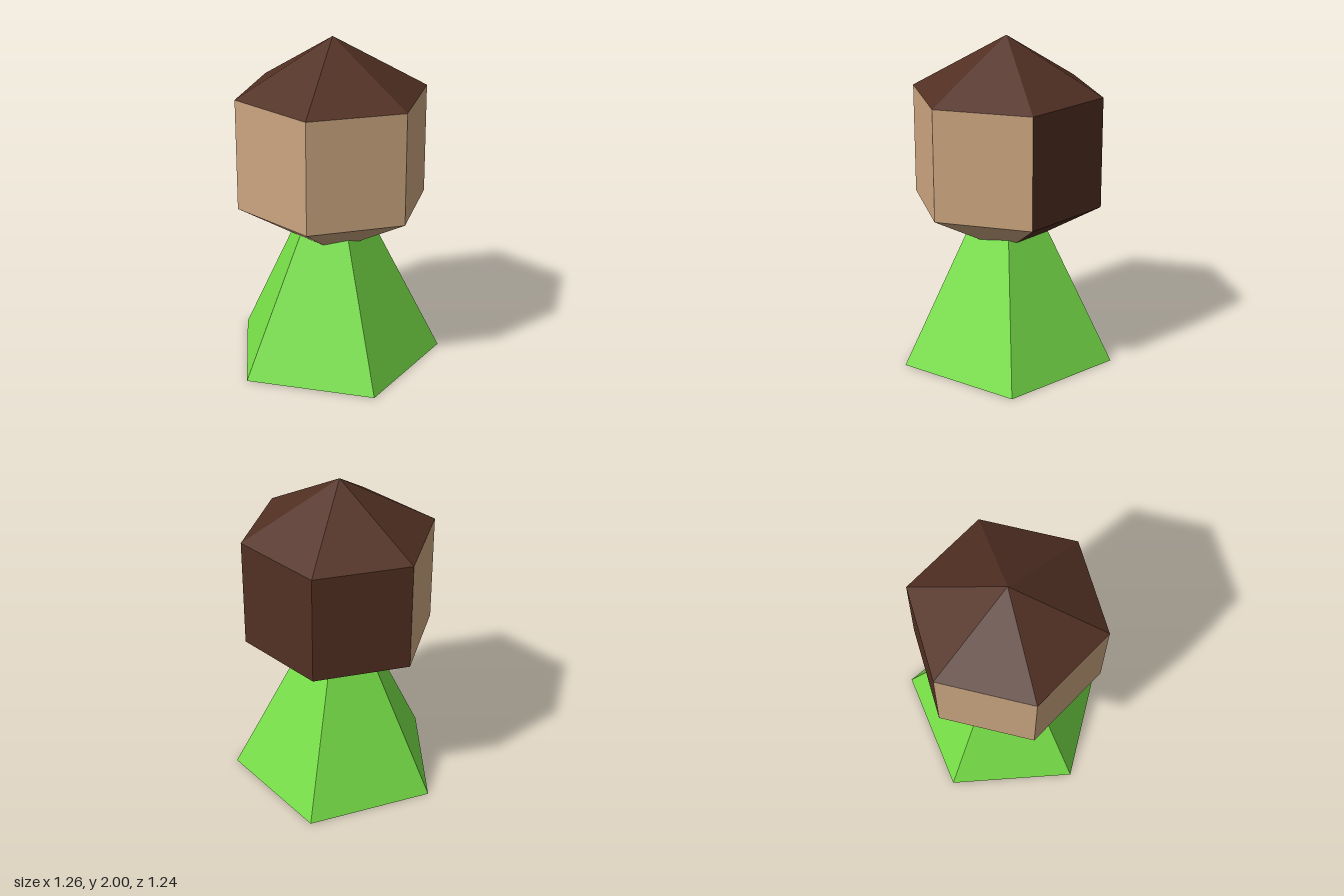
import * as THREE from 'three';

const material = (color) => new THREE.MeshStandardMaterial({ color, flatShading: true });

export function createModel() {
  const model = new THREE.Group();
  const skin = material(0xcca680);
  const hair = material(0x523023);
  const cloth = material(0x78e048);
  const axisZ = 0.043;
  const headRadius = 1 / Math.sqrt(3);
  const side = Math.PI / 3;

  // Faceted frustum around the shared axis, spanning y0 to y1
  function add(name, mat, rTop, rBottom, y0, y1, sides, start, sweep, open = true) {
    const geometry = new THREE.CylinderGeometry(rTop, rBottom, y1 - y0, sides, 1, open, start, sweep);
    const mesh = new THREE.Mesh(geometry, mat);
    mesh.name = name;
    mesh.position.set(0, (y0 + y1) / 2, axisZ);
    model.add(mesh);
  }

  // Five-sided conical robe, its point hidden inside the head
  add('robe', cloth, 0, 0.663, 0, 1.333, 5, Math.PI, Math.PI * 2, false);

  // Front four sides of the hexagonal head, with the tapering chin
  add('face', skin, headRadius, headRadius, 1, 1.667, 4, -2 * side, 4 * side);
  add('chin', skin, headRadius, 0, 0.667, 1, 4, -2 * side, 4 * side);

  // Back two sides of the head, the nape and the pointed crown
  add('backHair', hair, headRadius, headRadius, 1, 1.667, 2, 2 * side, 2 * side);
  add('napeHair', hair, headRadius, 0, 0.667, 1, 2, 2 * side, 2 * side);
  add('crownHair', hair, 0, headRadius, 1.667, 2, 6, 0, 6 * side);

  return model;
}
